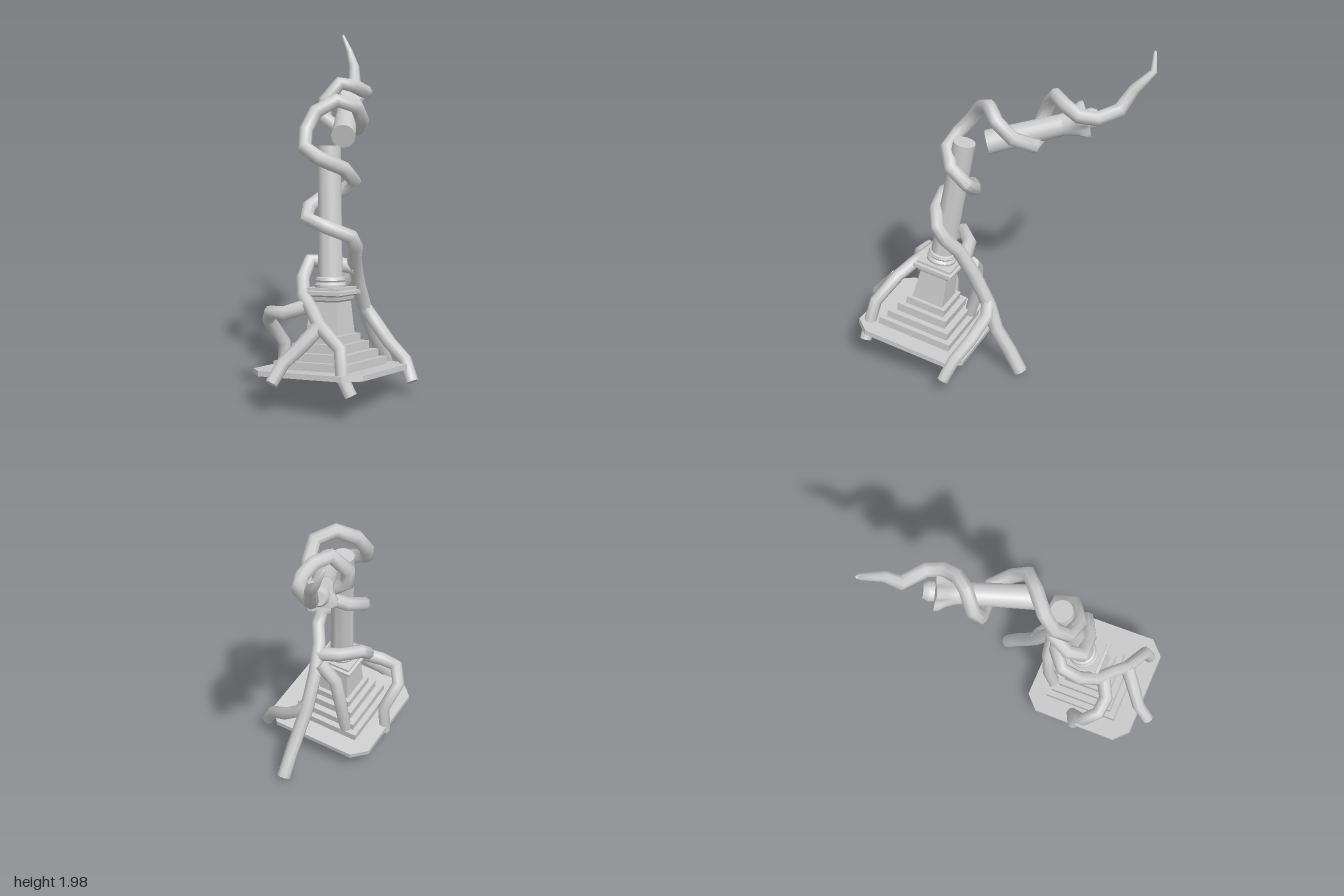
import * as THREE from 'three';
import { toCreasedNormals } from 'three/addons/utils/BufferGeometryUtils.js';

const UP = new THREE.Vector3(0, 1, 0);
const stone = new THREE.MeshStandardMaterial({ color: 0xcccccc, side: THREE.DoubleSide });
const v3 = (p) => new THREE.Vector3(...p);
const v2 = (p) => new THREE.Vector2(...p);

function add(group, name, geometry) {
  const mesh = new THREE.Mesh(geometry, stone);
  mesh.name = name;
  group.add(mesh);
  return mesh;
}

// Turned profile; four sides give a square section whose radii are half widths
function turned(profile, sides) {
  const square = sides === 4;
  const k = square ? Math.SQRT2 : 1;
  const geo = new THREE.LatheGeometry(profile.map(([r, y]) => v2([r * k, y])), sides, square ? Math.PI / 4 : 0);
  return toCreasedNormals(geo, 0.6);
}

// Curve that keeps its angular joints: one tube ring per point
class JointedPath extends THREE.Curve {
  constructor(points) {
    super();
    this.points = points;
  }
  getPointAt(u, target = new THREE.Vector3()) {
    return target.copy(this.points[Math.round(u * (this.points.length - 1))]);
  }
  getTangentAt(u, target = new THREE.Vector3()) {
    const p = this.points;
    const i = Math.round(u * (p.length - 1));
    const dir = (a, b) => p[b].clone().sub(p[a]).normalize();
    target.set(0, 0, 0);
    if (i > 0) target.add(dir(i - 1, i));
    if (i < p.length - 1) target.add(dir(i, i + 1));
    return target.normalize();
  }
}

// Closed branch with a radius that runs through the given values per point
function branch(coords, radiusAt) {
  const pts = coords.map(v3);
  const n = pts.length;
  const cap = (a, b) => b.clone().add(b.clone().sub(a).setLength(0.004));
  const path = [cap(pts[1], pts[0]), ...pts, cap(pts[n - 2], pts[n - 1])];
  const sides = 8;
  const geo = new THREE.TubeGeometry(new JointedPath(path), path.length - 1, 1, sides, false);
  const pos = geo.attributes.position;
  const v = new THREE.Vector3();
  for (let i = 0; i < pos.count; i++) {
    const ring = Math.floor(i / (sides + 1));
    const isCap = ring === 0 || ring === path.length - 1;
    const r = isCap ? 0.001 : radiusAt((ring - 1) / (n - 1));
    v.fromBufferAttribute(pos, i).sub(path[ring]).multiplyScalar(r).add(path[ring]);
    pos.setXYZ(i, v.x, v.y, v.z);
  }
  return toCreasedNormals(geo, 1.1);
}

function basePlate() {
  const h = 0.35, c = 0.085, w = 0.235;
  const shape = new THREE.Shape([
    [-h + c, -h], [h - c, -h], [h, -h + c], [h, h - c], [h - c, h], [-h + c, h], [-h, h - c], [-h, -h + c],
  ].map(v2));
  shape.holes.push(new THREE.Path([[-w, -w], [-w, w], [w, w], [w, -w]].map(v2)));
  const geo = new THREE.ExtrudeGeometry(shape, { depth: 0.03, bevelEnabled: false });
  return geo.rotateX(-Math.PI / 2).translate(0, -0.01, 0);
}

// Flared capital: round at the neck, four pointed corners at the top
function flaredCapital() {
  const profile = [[0.062, 0.43], [0.066, 0.47], [0.074, 0.51], [0.09, 0.55], [0.09, 0.575], [0.05, 0.58]];
  const geo = new THREE.LatheGeometry(profile.map(v2), 24);
  const pos = geo.attributes.position;
  for (let i = 0; i < pos.count; i++) {
    const x = pos.getX(i), z = pos.getZ(i);
    const spread = THREE.MathUtils.clamp((pos.getY(i) - 0.44) / 0.11, 0, 1);
    const k = 1 + 0.2 * spread * Math.cos(4 * Math.atan2(x, z));
    pos.setX(i, x * k);
    pos.setZ(i, z * k);
  }
  return toCreasedNormals(geo, 0.6);
}

export function createModel() {
  const model = new THREE.Group();
  model.name = 'vineBoundColumn';

  // Leaning lower column on its hollow stepped pedestal
  const lower = new THREE.Group();
  lower.name = 'lowerColumn';
  lower.position.set(0.14, 0.2, 0.335);
  lower.quaternion.setFromUnitVectors(UP, v3([-0.108, 0.983, -0.15]).normalize())
    .multiply(new THREE.Quaternion().setFromAxisAngle(UP, 0.08));
  model.add(lower);
  add(lower, 'basePlate', basePlate());
  add(lower, 'pedestal', turned([
    [0.235, 0.01], [0.235, 0.065], [0.2, 0.065], [0.2, 0.11], [0.16, 0.11], [0.16, 0.16],
    [0.125, 0.16], [0.125, 0.205], [0.1, 0.205], [0.085, 0.39], [0.096, 0.4], [0.1, 0.42],
    [0.125, 0.43], [0.125, 0.45], [0.11, 0.455], [0.11, 0.47], [0, 0.47],
  ], 4));
  add(lower, 'shaft', turned([
    [0.088, 0.465], [0.09, 0.485], [0.077, 0.5], [0.085, 0.51], [0.08, 0.525],
    [0.07, 0.53], [0.065, 1.27], [0, 1.27],
  ], 20));

  // Broken upper piece
  const upper = new THREE.Group();
  upper.name = 'brokenUpperColumn';
  upper.position.set(0, 1.485, 0);
  upper.quaternion.setFromUnitVectors(UP, v3([-0.486, 0.235, -0.843]).normalize());
  model.add(upper);
  add(upper, 'upperShaft', turned([[0, 0], [0.07, 0], [0.062, 0.45], [0, 0.45]], 20));
  add(upper, 'flaredCapital', flaredCapital());
  add(upper, 'capitalKnob', turned([[0.058, 0.56], [0.058, 0.61], [0.042, 0.64], [0, 0.64]], 12));

  // Main vine, from its thin tip down around both pieces to the back root
  const vines = new THREE.Group();
  vines.name = 'vines';
  model.add(vines);
  add(vines, 'mainVine', branch([
    [-0.515, 2.0, -0.77], [-0.475, 1.9, -0.785], [-0.39, 1.81, -0.71], [-0.345, 1.69, -0.65],
    [-0.21, 1.675, -0.57], [-0.165, 1.69, -0.48], [-0.18, 1.73, -0.39], [-0.23, 1.75, -0.31],
    [-0.29, 1.65, -0.24], [-0.27, 1.55, -0.21], [-0.17, 1.48, -0.235], [-0.06, 1.5, -0.26],
    [0.02, 1.56, -0.17], [0.04, 1.65, -0.08], [-0.04, 1.69, 0.01], [-0.12, 1.63, 0.1],
    [-0.14, 1.53, 0.17], [-0.1, 1.44, 0.24], [0.01, 1.39, 0.255], [0.12, 1.33, 0.17],
    [0.12, 1.25, 0.07], [0.05, 1.19, 0.06], [-0.05, 1.15, 0.12], [-0.08, 1.1, 0.23],
    [-0.04, 1.05, 0.31], [0.09, 1.01, 0.29], [0.2, 0.96, 0.22], [0.2, 0.89, 0.17],
    [0.15, 0.8, 0.11], [0.12, 0.65, 0.03], [0.11, 0.45, -0.07], [0.13, 0.3, -0.13],
    [0.13, 0.17, -0.22], [0.13, 0.04, -0.295],
  ], (t) => Math.min(0.008 + t * 0.4, 0.042)));

  // Side branches and roots
  const roots = {
    frontVine: [
      [0.14, 0.74, 0.08], [0.0, 0.77, 0.12], [-0.09, 0.78, 0.21], [-0.07, 0.7, 0.31],
      [0.0, 0.62, 0.4], [0.1, 0.57, 0.46], [0.19, 0.51, 0.52], [0.36, 0.42, 0.57],
      [0.39, 0.28, 0.6], [0.45, 0.18, 0.6],
    ],
    frontRoot: [[0.19, 0.51, 0.52], [0.13, 0.41, 0.6], [0.06, 0.32, 0.68], [0.04, 0.22, 0.765]],
    leftwardRoot: [
      [0.04, 0.58, 0.43], [-0.06, 0.54, 0.5], [-0.16, 0.53, 0.5], [-0.225, 0.46, 0.43],
      [-0.18, 0.31, 0.34], [-0.185, 0.13, 0.35],
    ],
    innerRoot: [[0.1, 0.7, 0.05], [0.0, 0.6, 0.07], [-0.03, 0.4, 0.09], [-0.03, 0.21, 0.14]],
    sideRoot: [
      [0.11, 0.47, -0.06], [0.16, 0.4, -0.08], [0.3, 0.29, -0.04], [0.43, 0.22, 0.0], [0.5, 0.11, 0.035],
    ],
  };
  for (const [name, path] of Object.entries(roots)) {
    add(vines, name, branch(path, (t) => 0.043 - 0.007 * t));
  }
  return model;
}
